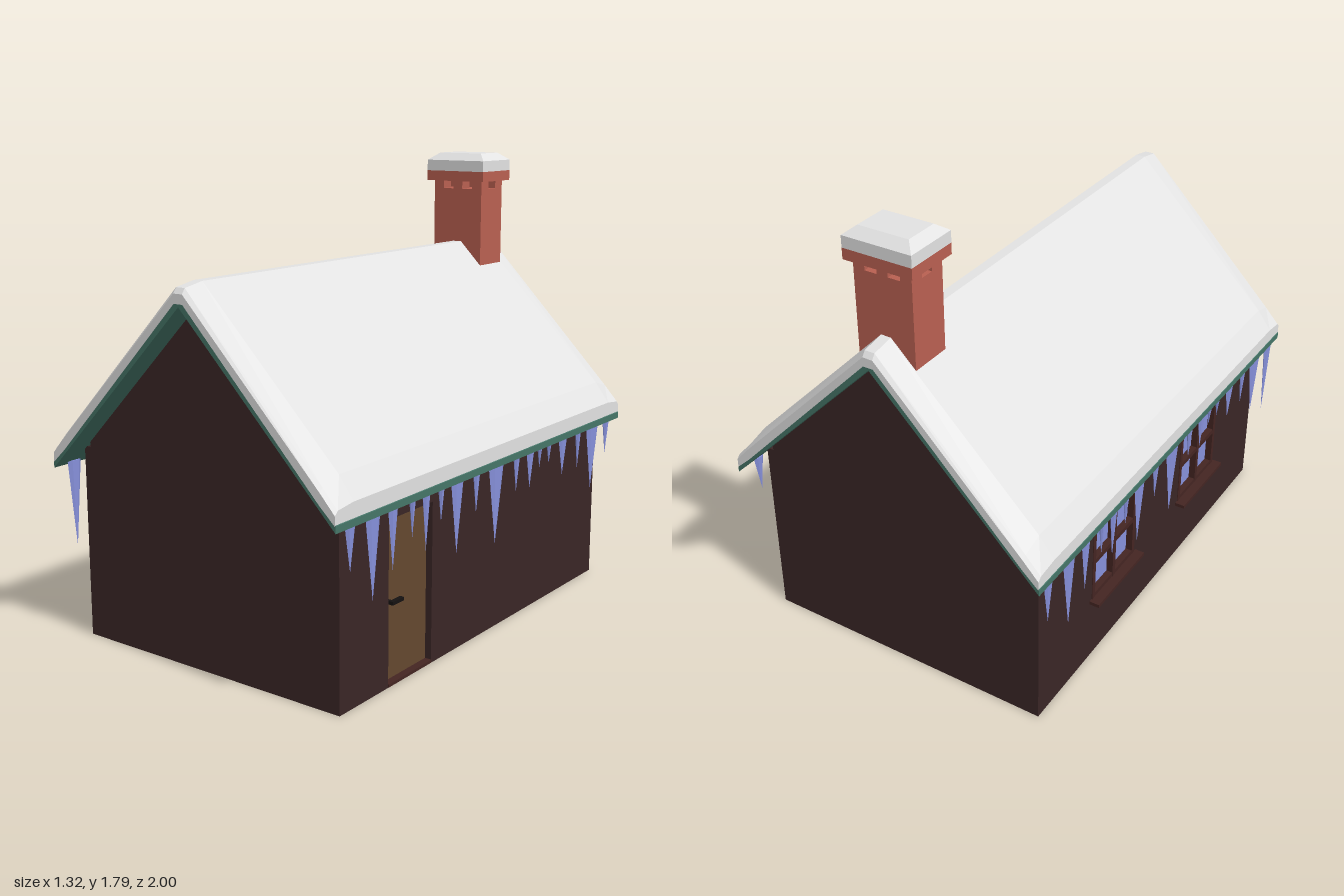
import * as THREE from 'three';

const mat = (name, color) => {
  const m = new THREE.MeshStandardMaterial({ color });
  m.name = name;
  return m;
};

export function createModel() {
  const house = new THREE.Group();
  house.name = 'snowyHouse';
  const wall = mat('dark timber', 0x3a2626);
  const snow = mat('snow', 0xe2e2e2);
  const green = mat('green roof board', 0x457568);
  const brick = mat('brick', 0xb96051);
  const ice = mat('ice blue', 0x8791dc);
  const wood = mat('door wood', 0x64482f);
  const trim = mat('window trim', 0x442522);
  const black = mat('handle black', 0x151212);

  const add = (name, geo, material, parent = house) => {
    const m = new THREE.Mesh(geo, material);
    m.name = name;
    parent.add(m);
    return m;
  };
  // Box given by its minimum and maximum corners
  const box = (name, a, b, material, parent) => {
    const g = new THREE.BoxGeometry(b[0] - a[0], b[1] - a[1], b[2] - a[2]);
    g.translate((a[0] + b[0]) / 2, (a[1] + b[1]) / 2, (a[2] + b[2]) / 2);
    return add(name, g, material, parent);
  };
  const poly = pts => new THREE.Shape(pts.map(p => new THREE.Vector2(...p)));
  const rect = (x0, x1, y0, y1) => poly([[x0, y0], [x1, y0], [x1, y1], [x0, y1]]);
  const extrude = (shape, depth) => new THREE.ExtrudeGeometry(shape, { depth, bevelEnabled: false });

  // House core with gables
  add('gableBody', extrude(poly([[-0.57, 0], [0.57, 0], [0.57, 0.775], [0, 1.345], [-0.57, 0.775]]), 1.8)
    .translate(0, 0, -0.9), wall);

  // Side walls with recessed openings
  const sideWall = (name, side, openings) => {
    const s = rect(-0.9, 0.9, 0, 0.75);
    openings.forEach(o => s.holes.push(rect(...o)));
    add(name, extrude(s, 0.03).rotateY(side * Math.PI / 2).translate(side * 0.57, 0, 0), wall);
  };
  const windows = [-0.355, 0.355], half = 0.165, y0 = 0.275, y1 = 0.615;
  sideWall('doorWall', 1, [[-0.62, -0.35, 0.012, 0.615]]);
  sideWall('windowWall', -1, windows.map(z => [z - half, z + half, y0, y1]));

  // Door
  box('door', [0.565, 0.012, 0.35], [0.574, 0.615, 0.62], wood);
  box('doorThreshold', [0.57, 0.002, 0.35], [0.603, 0.013, 0.62], trim);
  box('doorHandle', [0.595, 0.305, 0.545], [0.612, 0.318, 0.61], black);
  box('handleStem', [0.57, 0.305, 0.595], [0.6, 0.318, 0.608], black);

  // Windows: glass, frame, crossed bars and sill
  windows.forEach(z => {
    const w = new THREE.Group();
    w.name = 'window';
    w.position.z = z;
    house.add(w);
    box('glass', [-0.576, y0, -half], [-0.568, y1, half], ice, w);
    for (const c of [-half + 0.01, 0, half - 0.01]) {
      box('uprightBar', [-0.603, y0, c - 0.01], [-0.57, y1, c + 0.01], trim, w);
    }
    for (const y of [y0 + 0.01, (y0 + y1) / 2, y1 - 0.01]) {
      box('crossBar', [-0.602, y - 0.01, -half], [-0.57, y + 0.01, half], trim, w);
    }
    box('sill', [-0.64, 0.263, -half - 0.015], [-0.59, 0.277, half + 0.015], trim, w);
  });

  // Green roof boards
  add('roofBoards', extrude(poly([[0, 1.34], [0.662, 0.676], [0.662, 0.702], [0, 1.375],
    [-0.662, 0.702], [-0.662, 0.676]]), 1.998).translate(0, 0, -0.999), green);

  // Snow blanket: cross-sections lofted along z, lower towards the gable ends
  const xs = [-0.66, -0.6, -0.02, 0.02, 0.6, 0.66];
  const under = [0.70, 0.755, 1.35];
  const heights = { end: [0.735, 0.8, 1.385], rim: [0.75, 0.815, 1.405], full: [0.76, 0.84, 1.42] };
  const sym = (a, i) => a[Math.min(i, 5 - i)];
  const rings = [[-1, 'end'], [-0.985, 'rim'], [-0.9, 'full'], [0.9, 'full'], [0.985, 'rim'], [1, 'end']]
    .map(([z, k]) => [
      ...xs.map((x, i) => [x, sym(heights[k], i), z]),
      ...xs.map((x, i) => [x, sym(under, i), z]).reverse()
    ]);
  const pos = [];
  const quad = (a, b, c, d) => pos.push(...a, ...b, ...c, ...a, ...c, ...d);
  for (let r = 0; r < 5; r++) {
    for (let i = 0; i < 12; i++) {
      const j = (i + 1) % 12;
      quad(rings[r][i], rings[r + 1][i], rings[r + 1][j], rings[r][j]);
    }
  }
  for (let i = 0; i < 5; i++) {
    const f = rings[5], b = rings[0];
    quad(f[11 - i], f[10 - i], f[i + 1], f[i]);
    quad(b[i], b[i + 1], b[10 - i], b[11 - i]);
  }
  const snowGeo = new THREE.BufferGeometry();
  snowGeo.setAttribute('position', new THREE.Float32BufferAttribute(pos, 3));
  snowGeo.computeVertexNormals();
  add('roofSnow', snowGeo, snow);

  // Chimney with open vents below the cap
  const chimney = new THREE.Group();
  chimney.name = 'chimney';
  house.add(chimney);
  box('stack', [-0.118, 1.2, -0.895], [0.118, 1.645, -0.727], brick, chimney);
  for (const [x0, x1] of [[-0.118, -0.072], [-0.022, 0.022], [0.072, 0.118]]) {
    for (const [z0, z1] of [[-0.895, -0.84], [-0.785, -0.727]]) {
      box('ventPost', [x0, 1.645, z0], [x1, 1.68, z1], brick, chimney);
    }
  }
  box('cap', [-0.14, 1.678, -0.92], [0.14, 1.72, -0.702], brick, chimney);
  box('capSnow', [-0.14, 1.72, -0.92], [0.14, 1.765, -0.702], snow, chimney);
  const top = new THREE.BoxGeometry(0.28, 0.03, 0.218).toNonIndexed();
  const p = top.attributes.position;
  for (let i = 0; i < p.count; i++) {
    if (p.getY(i) > 0) p.setXYZ(i, p.getX(i) * 0.73, p.getY(i), p.getZ(i) * 0.62);
  }
  top.computeVertexNormals();
  add('capSnowTop', top.translate(0, 1.78, -0.811), snow, chimney);

  // Icicles under both eaves: z, width, tip height
  const row = [[0.785, 0.085, 0.385], [0.67, 0.06, 0.46], [0.555, 0.03, 0.545], [0.47, 0.045, 0.475],
    [0.375, 0.03, 0.555], [0.27, 0.085, 0.41], [0.14, 0.04, 0.53], [0, 0.11, 0.375],
    [-0.15, 0.04, 0.545], [-0.255, 0.06, 0.535], [-0.33, 0.02, 0.6], [-0.405, 0.02, 0.6],
    [-0.52, 0.075, 0.53], [-0.65, 0.035, 0.53], [-0.775, 0.11, 0.415]];
  const icicle = (side, [z, w, tip]) => {
    const h = 0.69 - tip;
    const g = new THREE.ConeGeometry(0.5, h, 6, 1).toNonIndexed();
    g.rotateX(Math.PI).scale(0.022, 1, w);
    g.computeVertexNormals();
    add('icicle', g.translate(side * 0.652, tip + h / 2, z), ice);
  };
  [...row, [0.91, 0.06, 0.52], [-0.9, 0.05, 0.54]].forEach(i => icicle(1, i));
  [...row.map(([z, w, t]) => [-z, w, t]), [0.91, 0.065, 0.35], [-0.925, 0.06, 0.505]].forEach(i => icicle(-1, i));

  return house;
}
